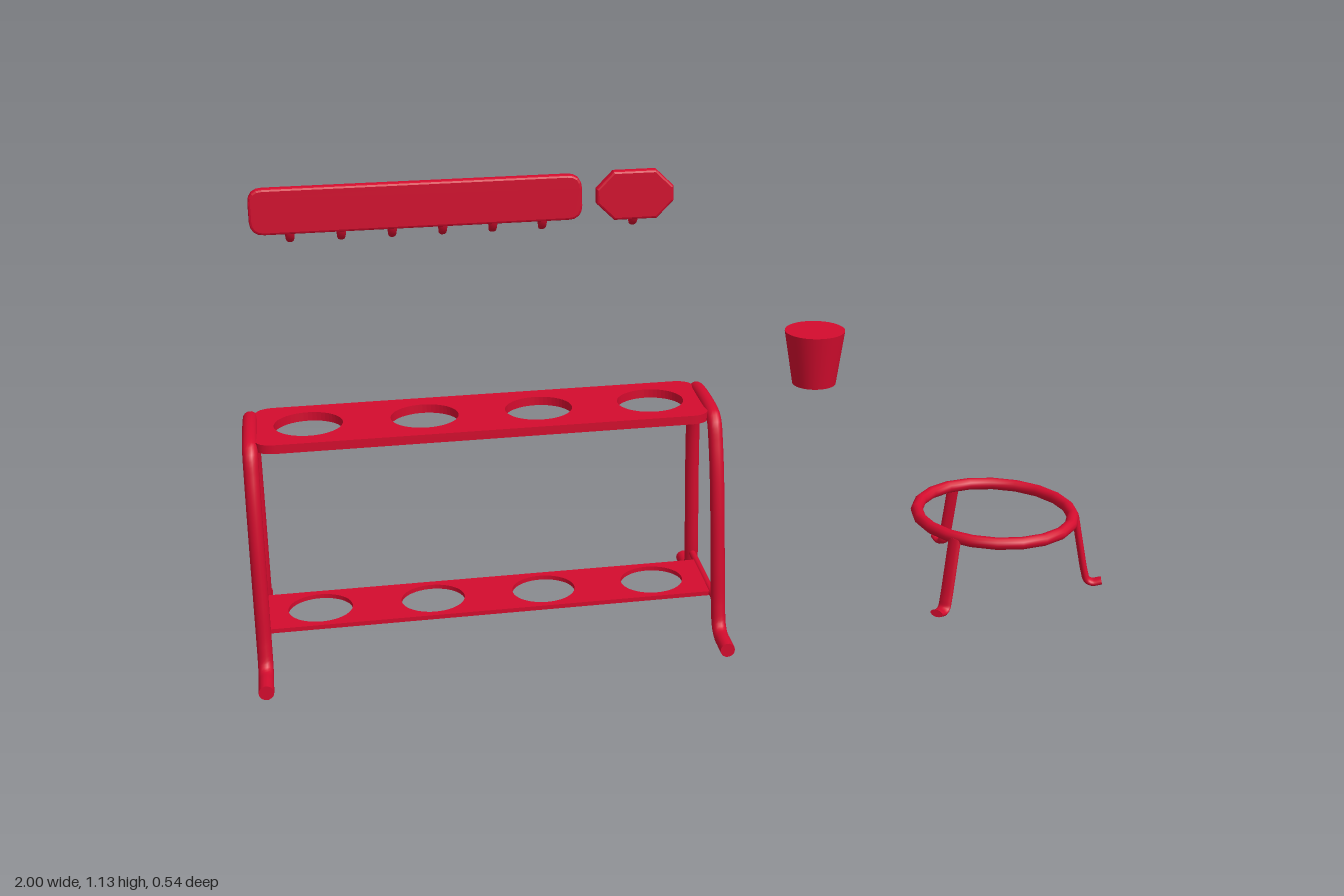
import * as THREE from 'three';

const material = new THREE.MeshStandardMaterial({ color: 0xd40c2e, side: THREE.DoubleSide });

function add(parent, geometry, name, x = 0, y = 0, z = 0) {
  const mesh = new THREE.Mesh(geometry, material);
  mesh.name = name;
  mesh.position.set(x, y, z);
  parent.add(mesh);
  return mesh;
}

// Smooth round bar through points, closed with a flat disc at each end
function bar(parent, points, radius, name, segments = 48, sides = 14) {
  const group = new THREE.Group();
  group.name = name;
  const curve = new THREE.CatmullRomCurve3(points.map(p => new THREE.Vector3(...p)), false, 'centripetal');
  add(group, new THREE.TubeGeometry(curve, segments, radius, sides), name + 'Tube');
  for (const t of [0, 1]) {
    const cap = add(group, new THREE.CircleGeometry(radius, sides), name + 'End');
    cap.position.copy(curve.getPoint(t));
    const direction = curve.getTangent(t).multiplyScalar(t ? 1 : -1);
    cap.quaternion.setFromUnitVectors(new THREE.Vector3(0, 0, 1), direction);
  }
  parent.add(group);
  return group;
}

// Rectangle centred on the origin, with rounded or chamfered corners
function plateShape(w, h, r, chamfer = false) {
  const s = new THREE.Shape();
  const a = w / 2, b = h / 2;
  const corner = (cx, cy, x, y) => chamfer ? s.lineTo(x, y) : s.quadraticCurveTo(cx, cy, x, y);
  s.moveTo(-a + r, -b);
  s.lineTo(a - r, -b);
  corner(a, -b, a, -b + r);
  s.lineTo(a, b - r);
  corner(a, b, a - r, b);
  s.lineTo(-a + r, b);
  corner(-a, b, -a, b - r);
  s.lineTo(-a, -b + r);
  corner(-a, -b, -a + r, -b);
  return s;
}

// Flat shelf with a row of four round openings
function shelf(parent, name, width, depth, radius, holeRadius, y, thickness) {
  const s = plateShape(width, depth, radius);
  for (let i = 0; i < 4; i++) {
    const hole = new THREE.Path();
    hole.absarc((i - 1.5) * 0.254, 0, holeRadius, 0, Math.PI * 2, true);
    s.holes.push(hole);
  }
  const g = new THREE.ExtrudeGeometry(s, { depth: thickness, bevelEnabled: false, curveSegments: 24 });
  g.rotateX(-Math.PI / 2);
  add(parent, g, name, -0.476, y, -0.006);
}

// J-shaped hook, broad at its root and narrow at its tip
function hook(parent, x) {
  const curve = new THREE.CatmullRomCurve3([
    [1.108, 0.245], [1.06, 0.243], [1.03, 0.24], [1.014, 0.23],
    [1.01, 0.216], [1.016, 0.202], [1.036, 0.19],
  ].map(([y, z]) => new THREE.Vector3(0, y, z)));
  const g = new THREE.TubeGeometry(curve, 28, 0.005, 10);
  const p = g.attributes.position;
  for (let i = 0; i < p.count; i++) {
    const t = THREE.MathUtils.clamp((p.getZ(i) - 0.19) / 0.055, 0, 1);
    p.setX(i, p.getX(i) * (0.8 + 1.2 * t));
  }
  g.computeVertexNormals();
  add(parent, g, 'hook', x);
  add(parent, new THREE.SphereGeometry(0.006, 10, 8), 'hookTip', x, 1.036, 0.19);
}

// Wall plate with softly bevelled edges, hooks on its -z side
function hookRail(parent, name, x, y, w, h, corner, chamfer, hooks) {
  const group = new THREE.Group();
  group.name = name;
  const b = 0.005;
  const g = new THREE.ExtrudeGeometry(plateShape(w - 2 * b, h - 2 * b, corner, chamfer), {
    depth: 0.012, bevelSize: b, bevelThickness: b, bevelSegments: 2, curveSegments: 4,
  });
  add(group, g, name + 'Plate', x, y, 0.25);
  hooks.forEach(hx => hook(group, hx));
  parent.add(group);
}

export function createModel() {
  const model = new THREE.Group();

  // Rack: two bent end frames, each with a cross rod, carrying two shelves
  const rack = new THREE.Group();
  rack.name = 'rack';
  model.add(rack);
  const half = [
    [0.26, 0.0195], [0.22, 0.0195], [0.185, 0.0205], [0.164, 0.036], [0.154, 0.08],
    [0.149, 0.18], [0.143, 0.32], [0.134, 0.41], [0.124, 0.46], [0.11, 0.506], [0.095, 0.5195],
  ];
  const profile = [...half, ...half.slice().reverse().map(([z, y]) => [-z, y])];
  for (const x of [-0.983, 0.031]) {
    bar(rack, profile.map(([z, y]) => [x, y, z - 0.005]), 0.0165, 'endFrame', 120);
    bar(rack, [[x, 0.082, -0.158], [x, 0.082, 0.148]], 0.008, 'crossRod', 1);
  }
  shelf(rack, 'topShelf', 0.995, 0.238, 0.045, 0.075, 0.512, 0.02);
  shelf(rack, 'bottomShelf', 1.014, 0.18, 0.004, 0.072, 0.077, 0.01);

  // Wall rails
  const many = Array.from({ length: 6 }, (_, i) => -0.868 + i * 0.1016);
  hookRail(model, 'longHookRail', -0.613, 1.08, 0.665, 0.094, 0.024, false, many);
  hookRail(model, 'singleHookPlate', -0.171, 1.079, 0.16, 0.102, 0.033, true, [-0.171]);

  // Solid tapered pot
  add(model, new THREE.CylinderGeometry(0.069, 0.05, 0.127, 32), 'pot', 0.288, 0.6115, -0.006);

  // Ring stand on three flattened, splayed legs
  const stand = new THREE.Group();
  stand.name = 'ringStand';
  stand.position.set(0.745, 0, -0.01);
  model.add(stand);
  const ring = new THREE.TorusGeometry(0.186, 0.0145, 12, 20);
  ring.rotateX(Math.PI / 2);
  add(stand, ring, 'ring', 0, 0.184, 0);
  for (const angle of [18, 138, 258]) {
    const leg = bar(stand, [
      [0.192, 0.184, 0], [0.207, 0.11, 0], [0.222, 0.04, 0],
      [0.229, 0.02, 0], [0.242, 0.014, 0], [0.264, 0.019, 0],
    ], 0.0085, 'standLeg', 36, 12);
    leg.scale.z = 1.9;
    leg.rotation.y = -THREE.MathUtils.degToRad(angle);
  }
  return model;
}
